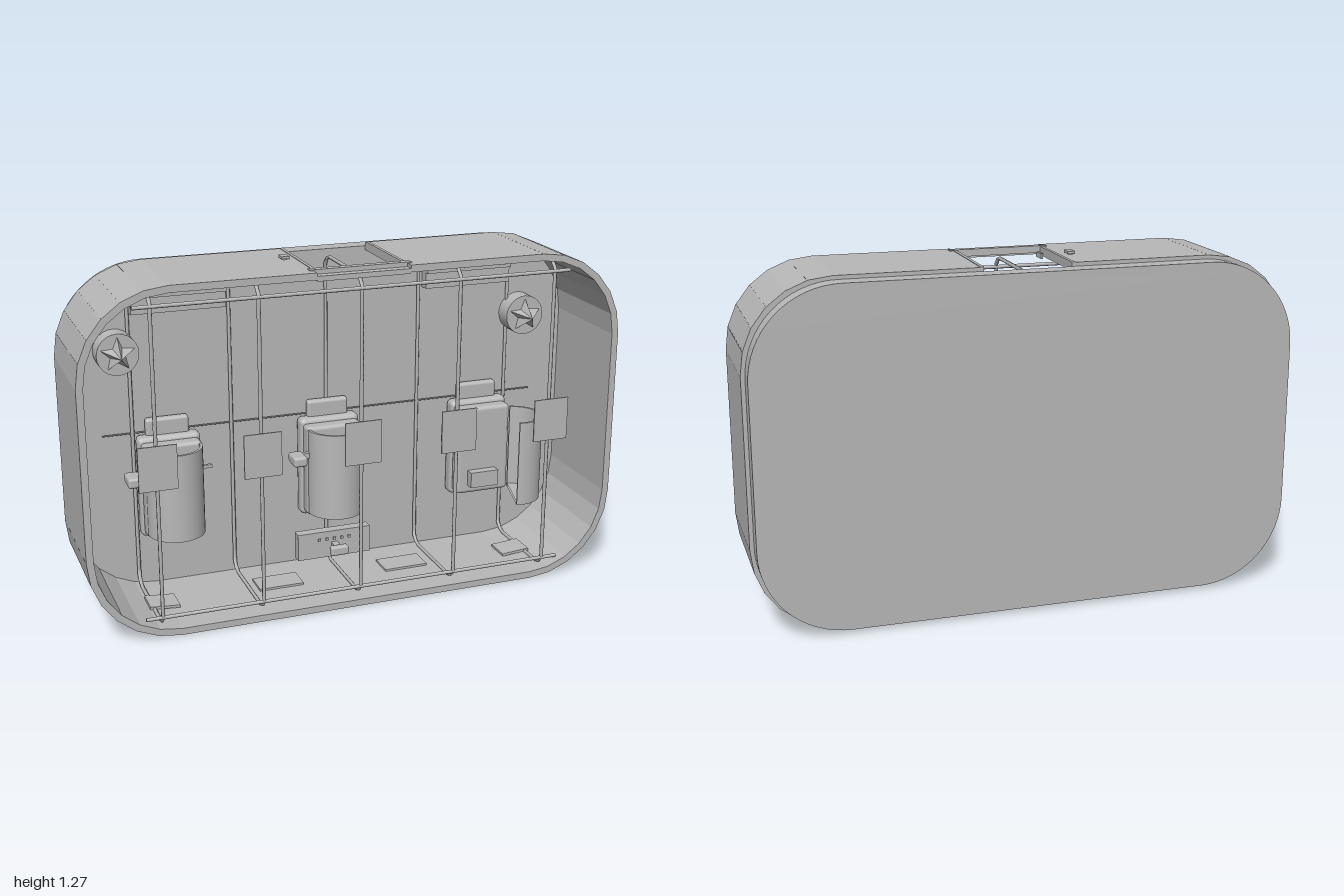
import * as THREE from 'three';
import { RoundedBoxGeometry } from 'three/addons/geometries/RoundedBoxGeometry.js';

const CY = 0.633, HH = 0.629, R = 0.32, WALL = 0.025, BACK = -0.17, FRONT = 0.24;

export function createModel() {
  const model = new THREE.Group();
  model.name = 'wallCabinet';
  const grey = new THREE.MeshStandardMaterial({ color: 0xb8b8b8, side: THREE.DoubleSide });
  grey.name = 'plain grey';

  const add = (name, geo, x = 0, y = 0, z = 0, parent = model) => {
    const m = new THREE.Mesh(geo, grey);
    m.name = name;
    m.position.set(x, y, z);
    parent.add(m);
    return m;
  };
  // box given by its limits
  const box = (name, x0, x1, y0, y1, z0, z1, parent = model) =>
    add(name, new THREE.BoxGeometry(x1 - x0, y1 - y0, z1 - z0), (x0 + x1) / 2, (y0 + y1) / 2, (z0 + z1) / 2, parent);
  const rounded = (name, x0, x1, y0, y1, z0, z1, r, parent) =>
    add(name, new RoundedBoxGeometry(x1 - x0, y1 - y0, z1 - z0, 2, r), (x0 + x1) / 2, (y0 + y1) / 2, (z0 + z1) / 2, parent);
  const rod = (name, a, b, r) =>
    add(name, new THREE.TubeGeometry(new THREE.LineCurve3(new THREE.Vector3(...a), new THREE.Vector3(...b)), 1, r, 8));

  // back panel, slightly smaller than the wall ring
  const w = 0.985, h = HH - 0.014, s = new THREE.Shape();
  const corners = [[w - R, h - R, 0], [R - w, h - R, 1], [R - w, R - h, 2], [w - R, R - h, 3]];
  for (const [x, y, q] of corners) s.absarc(x, y, R, q * Math.PI / 2, (q + 1) * Math.PI / 2, false);
  add('backPanel', new THREE.ExtrudeGeometry(s, { depth: 0.07, bevelEnabled: false, curveSegments: 8 }), 0, CY, -0.24);

  // straight walls, with the hatch opening in the top
  const flatX = 1 - R, top = CY + HH, bottom = CY - HH;
  for (const side of [-1, 1]) {
    const x = side * (1 - WALL / 2);
    box('sideWall', x - WALL / 2, x + WALL / 2, bottom + R, top - R, BACK, FRONT);
    const xs = [side * 0.17, side * flatX].sort((a, b) => a - b);
    box('topWall', xs[0], xs[1], top - WALL, top, BACK, FRONT);
  }
  box('bottomWall', -flatX, flatX, bottom, bottom + WALL, BACK, FRONT);

  // corner walls made of overlapping flat slats
  const steps = 6, da = Math.PI / 2 / steps;
  const apothem = R * Math.cos(da / 2) - WALL / 2;
  const slat = new THREE.BoxGeometry(WALL, 2 * R * Math.sin(da / 2) + 0.004, FRONT - BACK);
  for (let q = 0; q < 4; q++) for (let i = 0; i < steps; i++) {
    const a = q * Math.PI / 2 + (i + 0.5) * da;
    const cx = (q === 0 || q === 3 ? 1 : -1) * flatX, cy = CY + (q < 2 ? 1 : -1) * (HH - R);
    add('cornerSlat', slat, cx + Math.cos(a) * apothem, cy + Math.sin(a) * apothem, (BACK + FRONT) / 2).rotation.z = a;
  }

  // top hatch frame and latch
  box('hatchFrontStrip', -0.17, 0.17, 1.232, 1.25, 0.2, FRONT);
  box('hatchRail', -0.185, 0.185, 1.24, 1.266, 0.182, 0.208);
  for (const x of [-0.165, 0.165]) box('hatchRunner', x - 0.006, x + 0.006, 1.232, 1.264, BACK, 0.2);
  for (const x of [-0.15, 0.15]) box('hatchPin', x - 0.004, x + 0.004, 1.225, 1.245, 0.13, 0.19);
  box('latchStem', -0.217, -0.203, 1.25, 1.268, -0.012, 0.012);
  box('latchKnob', -0.224, -0.196, 1.266, 1.275, -0.02, 0.02);

  // wire hoops with a card on each
  for (let i = -2; i <= 2; i++) {
    const x = i * 0.37, r = 0.03, path = new THREE.CurvePath();
    const y0 = 0.04, y1 = 1.23, z0 = -0.16, z1 = 0.215;
    const pts = [[y0 + r, z1], [y1 - r, z1], [y1, z1 - r], [y1, z0 + r], [y1 - r, z0], [y0 + r, z0], [y0, z0 + r], [y0, z1 - r]]
      .map(([y, z]) => new THREE.Vector3(x, y, z));
    pts.forEach((p, k) => path.add(new THREE.LineCurve3(p, pts[(k + 1) % pts.length])));
    add('wireHoop', new THREE.TubeGeometry(path, 100, 0.007, 6, true));
    box('card', x - 0.068, x + 0.068, 0.555, 0.715, 0.232, 0.238);
  }
  rod('lowerRod', [-0.8, 0.07, 0.215], [0.8, 0.07, 0.215], 0.007);
  rod('upperRod', [-0.8, 1.19, 0.215], [0.8, 1.19, 0.215], 0.007);
  rod('backRod', [-0.85, 0.63, -0.16], [0.85, 0.63, -0.16], 0.003);

  // holder units: stepped plate, tab, knob and a half-round cup
  const cupWall = new THREE.CylinderGeometry(0.105, 0.105, 0.33, 20, 1, true, -Math.PI / 2, Math.PI);
  const cupLiner = new THREE.CylinderGeometry(0.095, 0.095, 0.33, 20, 1, true, -Math.PI / 2, Math.PI);
  const cupFloor = new THREE.CylinderGeometry(0.105, 0.105, 0.012, 20, 1, false, -Math.PI / 2, Math.PI);
  const cupRim = new THREE.RingGeometry(0.095, 0.105, 20, 1, Math.PI, Math.PI).rotateX(-Math.PI / 2);
  [[-0.615, 0], [0, 0], [0.615, 1.3]].forEach(([x, open]) => {
    const unit = new THREE.Group();
    unit.name = 'holderUnit';
    unit.position.x = x;
    model.add(unit);
    rounded('holderPlate', -0.117, 0.117, 0.238, 0.622, BACK, -0.11, 0.02, unit);
    rounded('holderStep', -0.108, 0.108, 0.255, 0.605, -0.12, -0.06, 0.015, unit);
    rounded('holderTab', -0.08, 0.08, 0.58, 0.683, BACK, -0.135, 0.012, unit);
    box('holderInset', -0.065, 0.05, 0.29, 0.352, -0.06, -0.025, unit);
    box('knobStem', -0.14, -0.1, 0.49, 0.51, -0.07, -0.05, unit);
    rounded('knob', -0.182, -0.13, 0.481, 0.519, -0.07, 0.01, 0.01, unit);
    box('hingePin', 0.1, 0.14, 0.5, 0.512, -0.068, -0.056, unit);
    // the cup swings on its right edge
    const cup = new THREE.Group();
    cup.name = 'cup';
    cup.position.set(0.105, 0.433, -0.06);
    cup.rotation.y = open;
    unit.add(cup);
    add('cupWall', cupWall, -0.105, 0, 0, cup);
    add('cupLiner', cupLiner, -0.105, 0, 0, cup);
    add('cupRim', cupRim, -0.105, 0.165, 0, cup);
    add('cupFloor', cupFloor, -0.105, -0.159, 0, cup);
  });

  // star buttons and upper ledges on both sides
  const star = new THREE.ConeGeometry(0.065, 0.07, 10, 1).toNonIndexed();
  const p = star.attributes.position;
  for (let i = 0; i < p.count; i++) {
    const a = Math.round(Math.atan2(p.getX(i), p.getZ(i)) / (Math.PI / 5));
    if (a % 2) { p.setX(i, p.getX(i) * 0.45); p.setZ(i, p.getZ(i) * 0.45); }
  }
  star.rotateX(Math.PI / 2).rotateZ(Math.PI);
  star.computeVertexNormals();
  for (const side of [-1, 1]) {
    add('starBase', new THREE.CylinderGeometry(0.076, 0.076, 0.07, 24).rotateX(Math.PI / 2), side * 0.79, 0.945, -0.135);
    add('star', star, side * 0.79, 0.945, -0.066);
    const x = side * 0.56;
    box('ledge', x - 0.172, x + 0.172, 1.075, 1.145, BACK, -0.13);
    box('ledgeLip', x - 0.172, x + 0.172, 1.135, 1.147, BACK, -0.115);
    // flat plates on the floor
    box('floorPlate', side * 0.25 - 0.085, side * 0.25 + 0.085, 0.028, 0.037, -0.05, 0.05);
    add('floorPlate', new THREE.BoxGeometry(0.11, 0.01, 0.1), side * 0.7, 0.04, 0.03).rotation.z = side * 0.08;
  }

  // control box with a row of studs and a knob
  box('controlBox', -0.145, 0.145, 0.07, 0.175, -0.11, -0.07);
  for (let i = -2; i <= 2; i++) box('stud', i * 0.03 - 0.005, i * 0.03 + 0.005, 0.14, 0.15, -0.07, -0.064);
  box('controlStem', -0.012, 0.012, 0.105, 0.13, -0.07, -0.02);
  rounded('controlKnob', -0.035, 0.035, 0.1, 0.136, -0.03, 0, 0.008);

  return model;
}
